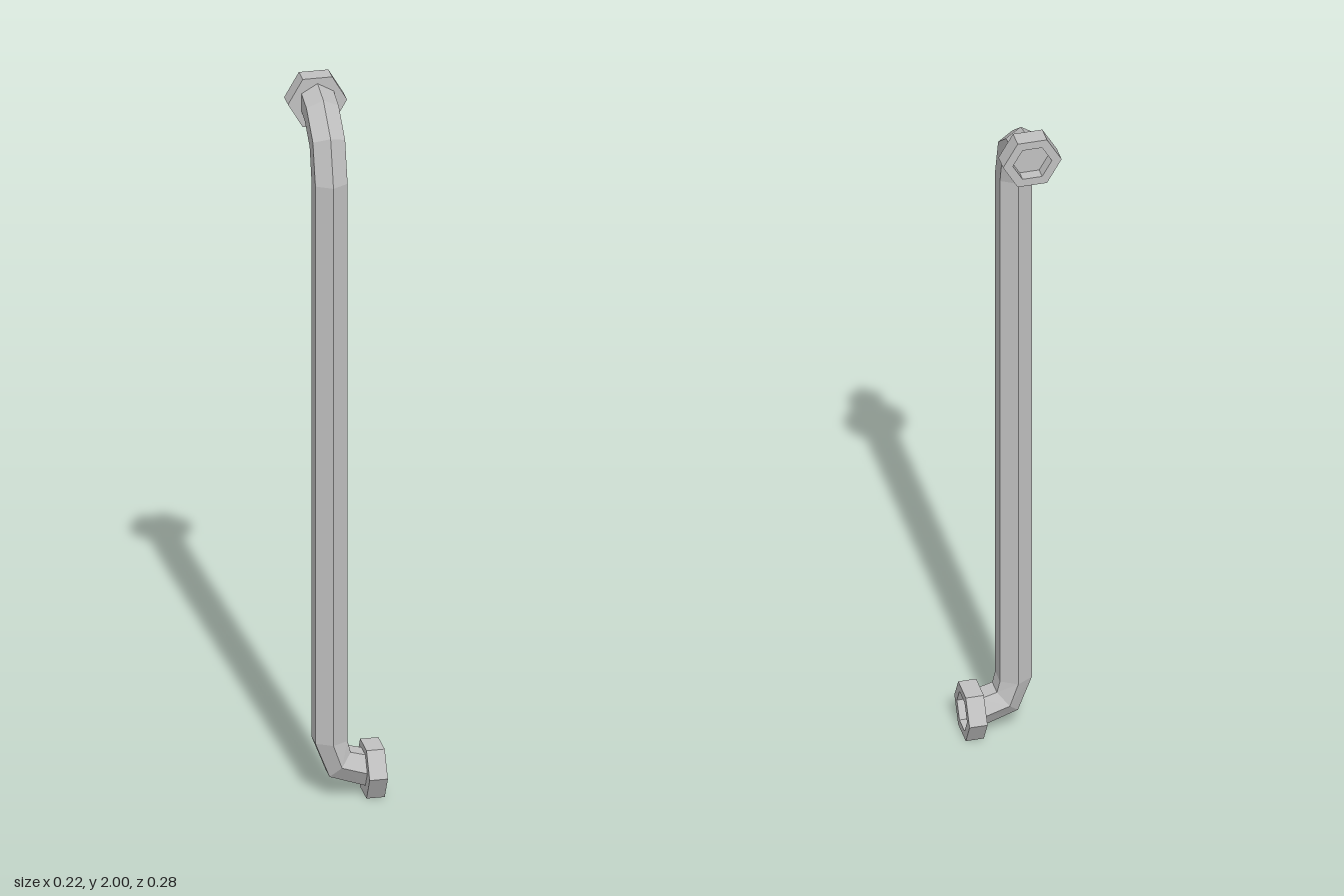
import * as THREE from 'three';

const SIDES = 6;
const RADIUS = 0.05;

// Hexagonal pipe skinned over rings; each ring leans by `side` (towards +x) or `back` (towards -z)
function pipeGeometry(rings) {
  const pos = [], idx = [];
  for (const { c, side = 0, back = 0 } of rings) {
    const a = THREE.MathUtils.degToRad(side), b = THREE.MathUtils.degToRad(back);
    const u = new THREE.Vector3(0, Math.sin(b), Math.cos(b));
    const v = new THREE.Vector3(Math.cos(a), Math.sin(a), 0);
    for (let k = 0; k < SIDES; k++) {
      const t = (k / SIDES) * Math.PI * 2;
      const p = new THREE.Vector3(...c)
        .addScaledVector(u, RADIUS * Math.cos(t))
        .addScaledVector(v, RADIUS * Math.sin(t));
      pos.push(p.x, p.y, p.z);
    }
  }
  for (let i = 0; i < rings.length - 1; i++) {
    for (let k = 0; k < SIDES; k++) {
      const a = i * SIDES + k, b = i * SIDES + ((k + 1) % SIDES);
      idx.push(a, b, b + SIDES, a, b + SIDES, a + SIDES);
    }
  }
  const g = new THREE.BufferGeometry();
  g.setAttribute('position', new THREE.Float32BufferAttribute(pos, 3));
  g.setIndex(idx);
  g.computeVertexNormals();
  return g;
}

// Hexagonal end nut with a recessed socket, opening along +y
function nutGeometry(phiStart) {
  const R = 0.0795, r = 0.053, h = 0.049, floor = 0.018;
  const profile = [[0, 0], [R, 0], [R, h], [r, h], [r, floor], [0, floor]]
    .map(([x, y]) => new THREE.Vector2(x, y));
  return new THREE.LatheGeometry(profile, SIDES, phiStart);
}

export function createModel() {
  const model = new THREE.Group();
  model.name = 'bentPipe';
  const metal = new THREE.MeshStandardMaterial({ color: 0xc0c0c0, flatShading: true });
  metal.name = 'light grey metal';

  const add = (name, geometry) => {
    const mesh = new THREE.Mesh(geometry, metal);
    mesh.name = name;
    model.add(mesh);
    return mesh;
  };

  // Pipe from the lower side outlet up to the upper rear outlet
  add('pipe', pipeGeometry([
    { c: [0.065, 0.074, 0.058], side: 85 },
    { c: [-0.008, 0.098, 0.058], side: 49 },
    { c: [-0.031, 0.164, 0.058] },
    { c: [-0.031, 1.767, 0.058] },
    { c: [-0.031, 1.865, 0.032], back: 36 },
    { c: [-0.031, 1.921, -0.038], back: 66 },
    { c: [-0.031, 1.935, -0.095], back: 88 },
  ]));

  // End nuts
  const lower = add('lowerNut', nutGeometry(0));
  lower.position.set(0.06, 0.069, 0.058);
  lower.rotation.z = -Math.PI / 2;

  const upper = add('upperNut', nutGeometry(Math.PI / 6));
  upper.position.set(-0.031, 1.931, -0.09);
  upper.rotation.x = -Math.PI / 2;

  return model;
}
